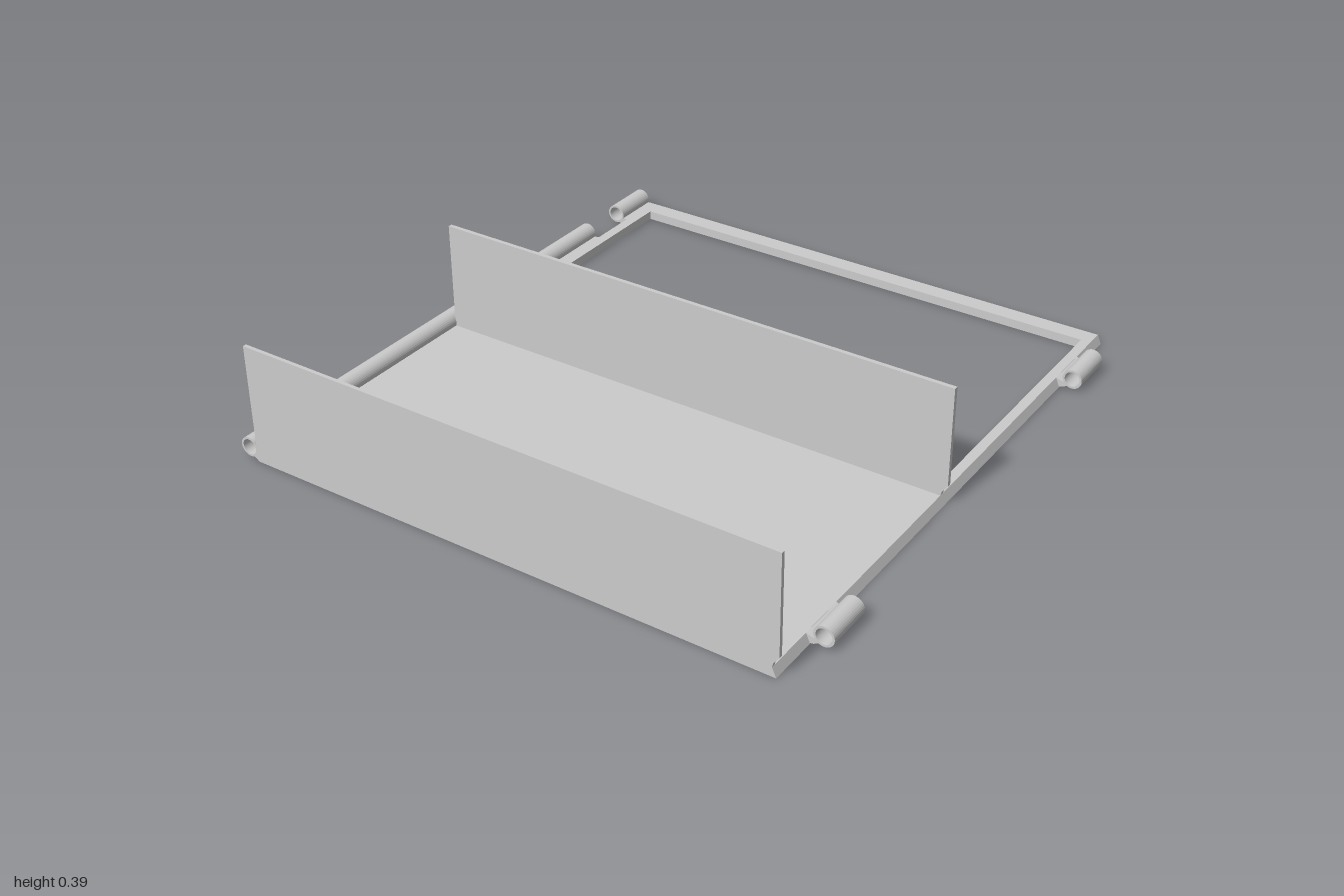
import * as THREE from 'three';

const T = 0.03;        // plate thickness
const BARREL_Y = 0.04; // hinge axis height
const BARREL_X = 0.925;
const R_OUT = 0.032, R_IN = 0.025;

export function createModel() {
  const group = new THREE.Group();
  const material = new THREE.MeshStandardMaterial({ color: 0xcccccc });

  const add = (name, geometry) => {
    const mesh = new THREE.Mesh(geometry, material);
    mesh.name = name;
    group.add(mesh);
    return mesh;
  };
  const shapeOf = (pts) => new THREE.Shape(pts.map(([x, y]) => new THREE.Vector2(x, y)));
  const extrude = (shape, depth) =>
    new THREE.ExtrudeGeometry(shape, { depth, bevelEnabled: false, curveSegments: 16 });

  // Extrudes an x-y section between two z positions
  const section = (name, shape, z0, z1) => {
    const g = extrude(shape, z1 - z0);
    g.translate(0, 0, z0);
    return add(name, g);
  };

  // Base plate: solid front half, open frame behind, hinge clearances on the right
  const base = shapeOf([
    [-0.895, -1], [0.885, -1], [0.885, 1], [-0.895, 1],
    [-0.895, 0.84], [-0.88, 0.84], [-0.88, 0.67], [-0.895, 0.67],
    [-0.895, -0.67], [-0.88, -0.67], [-0.88, -0.84], [-0.895, -0.84],
  ]);
  base.holes.push(new THREE.Path([
    [-0.845, -0.085], [0.84, -0.085], [0.84, 0.94], [-0.845, 0.94],
  ].map(([x, y]) => new THREE.Vector2(x, y))));
  const baseGeometry = extrude(base, T);
  baseGeometry.rotateX(-Math.PI / 2);
  // Lean the left edge inward towards its top
  const p = baseGeometry.attributes.position;
  for (let i = 0; i < p.count; i++) {
    if (p.getX(i) > 0.88 && p.getY(i) > T / 2) p.setX(i, 0.872);
  }
  baseGeometry.computeVertexNormals();
  add('basePlate', baseGeometry);

  // Upright panels, relieved at the lower left corner beside the hinge
  const panel = shapeOf([
    [-0.897, 0.0], [0.885, 0.0], [0.872, T], [0.876, 0.045],
    [0.893, 0.068], [0.893, 0.39], [-0.897, 0.39],
  ]);
  section('frontPanel', panel, 0.988, 1);
  section('middlePanel', panel, 0.081, 0.095);

  // Hollow hinge barrels with a small web joining each to the plate
  const barrel = (side, z0, z1) => {
    const ring = new THREE.Shape();
    ring.absarc(side * BARREL_X, BARREL_Y, R_OUT, 0, Math.PI * 2, false);
    const bore = new THREE.Path();
    bore.absarc(side * BARREL_X, BARREL_Y, R_IN, 0, Math.PI * 2, true);
    ring.holes.push(bore);
    section('hingeBarrel', ring, z0, z1);
    const web = side > 0
      ? [[0.87, 0], [0.895, 0.004], [0.91, 0.012], [0.898, 0.022], [0.87, T]]
      : [[-0.91, 0.012], [-0.893, 0], [-0.89, T], [-0.897, T]];
    section('hingeWeb', shapeOf(web), z0, z1);
  };
  for (const [z0, z1] of [[-1, -0.84], [-0.67, 0.67], [0.84, 1]]) barrel(-1, z0, z1);
  for (const [z0, z1] of [[-0.835, -0.68], [0.68, 0.835]]) barrel(1, z0, z1);

  return group;
}
